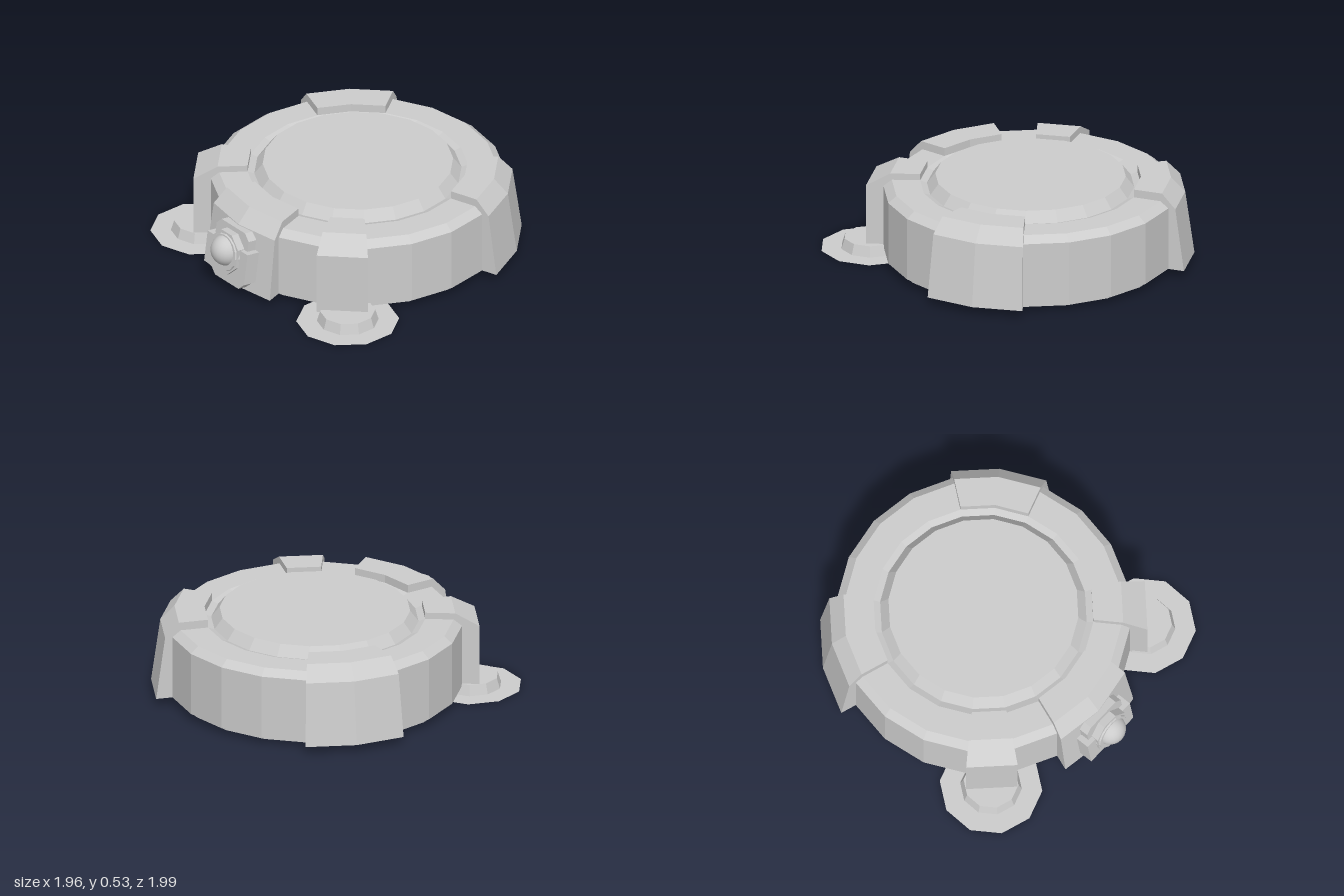
import * as THREE from 'three';

const DEG = Math.PI / 180;
const CX = -0.02, CZ = -0.12; // axis of the round body
const mat = new THREE.MeshStandardMaterial({ color: 0xcccccc, flatShading: true, side: THREE.DoubleSide });
const smoothMat = new THREE.MeshStandardMaterial({ color: 0xcccccc });

const pts = (list) => list.map(([x, y]) => new THREE.Vector2(x, y));

function add(parent, name, geometry, x = 0, y = 0, z = 0, material = mat) {
  const mesh = new THREE.Mesh(geometry, material);
  mesh.name = name;
  mesh.position.set(x, y, z);
  parent.add(mesh);
  return mesh;
}

// Closed profile swept around the axis between two angles, with capped ends
function armourPanel(name, profile, from, to, segments) {
  const group = new THREE.Group();
  group.name = name;
  const closed = pts([...profile, profile[0]]);
  add(group, name + 'Shell', new THREE.LatheGeometry(closed, segments, from * DEG, (to - from) * DEG));
  for (const angle of [from, to]) {
    const end = new THREE.ShapeGeometry(new THREE.Shape(pts(profile)));
    end.rotateY(angle * DEG - Math.PI / 2);
    add(group, name + 'End', end);
  }
  return group;
}

// Flat plate with cut corners, centred, extruded forward from z = 0
function cutPlate(w, h, cut, depth) {
  const a = w / 2, b = h / 2;
  const shape = new THREE.Shape(pts([
    [-a + cut, -b], [a - cut, -b], [a, -b + cut], [a, b - cut],
    [a - cut, b], [-a + cut, b], [-a, b - cut], [-a, -b + cut],
  ]));
  return new THREE.ExtrudeGeometry(shape, { depth, bevelEnabled: false });
}

export function createModel() {
  const model = new THREE.Group();
  model.name = 'discBase';

  // Twenty-sided body: base, wall, chamfered rim, groove and raised centre
  const body = new THREE.Group();
  body.name = 'body';
  body.position.set(CX, 0, CZ);
  model.add(body);
  add(body, 'bodyShell', new THREE.LatheGeometry(pts([
    [0, 0.02], [0.84, 0.02], [0.84, 0.05], [0.88, 0.05], [0.88, 0.44],
    [0.83, 0.48], [0.66, 0.48], [0.62, 0.465], [0.57, 0.53], [0, 0.53],
  ]), 20));

  // Flared armour panels: one in front, two behind
  const flared = [[0.66, 0.05], [0.98, 0.05], [0.925, 0.44], [0.84, 0.53], [0.66, 0.53], [0.66, 0.46]];
  body.add(armourPanel('frontPanel', flared, -18, 18, 2));
  body.add(armourPanel('rearLeftPanel', flared, 108, 144, 2));
  body.add(armourPanel('rearRightPanel', flared, 216, 252, 2));

  // Straight-sided narrow panels above the feet
  const straight = [[0.66, 0.05], [0.985, 0.05], [0.985, 0.44], [0.84, 0.52], [0.66, 0.52], [0.66, 0.46]];
  body.add(armourPanel('leftLegPanel', straight, 36, 54, 1));
  body.add(armourPanel('rightLegPanel', straight, 306, 324, 1));

  // Feet: low tapered cup on a flat ten-sided flange, hollow below
  for (const side of [1, -1]) {
    const foot = new THREE.Group();
    foot.name = side > 0 ? 'leftFoot' : 'rightFoot';
    foot.position.set(side * 0.685, 0, 0.54);
    model.add(foot);
    add(foot, 'footCup', new THREE.LatheGeometry(pts([
      [0.308, 0.001], [0.185, 0.001], [0.165, 0.065], [0, 0.065],
    ]), 10));
  }

  // Lamp on the front panel, leaning back with the wall
  const lamp = new THREE.Group();
  lamp.name = 'frontLamp';
  lamp.position.set(CX, 0.25, 0.81);
  lamp.rotation.x = -8 * DEG;
  model.add(lamp);
  add(lamp, 'lampBackPlate', cutPlate(0.3, 0.37, 0.04, 0.06));
  add(lamp, 'lampBlock', new THREE.BoxGeometry(0.32, 0.2, 0.08), 0, -0.02, 0.05);
  for (const side of [1, -1]) {
    add(lamp, 'lampBracket', new THREE.BoxGeometry(0.035, 0.2, 0.09), side * 0.17, -0.02, 0.045);
  }
  add(lamp, 'lampHousing', cutPlate(0.24, 0.26, 0.07, 0.05), 0, 0.025, 0.06);
  const collar = add(lamp, 'lampCollar', new THREE.CylinderGeometry(0.115, 0.125, 0.03, 16), 0, 0.025, 0.105);
  collar.rotation.x = Math.PI / 2;
  add(lamp, 'lampBulb', new THREE.SphereGeometry(0.097, 24, 16), 0, 0.037, 0.092, smoothMat);

  return model;
}
